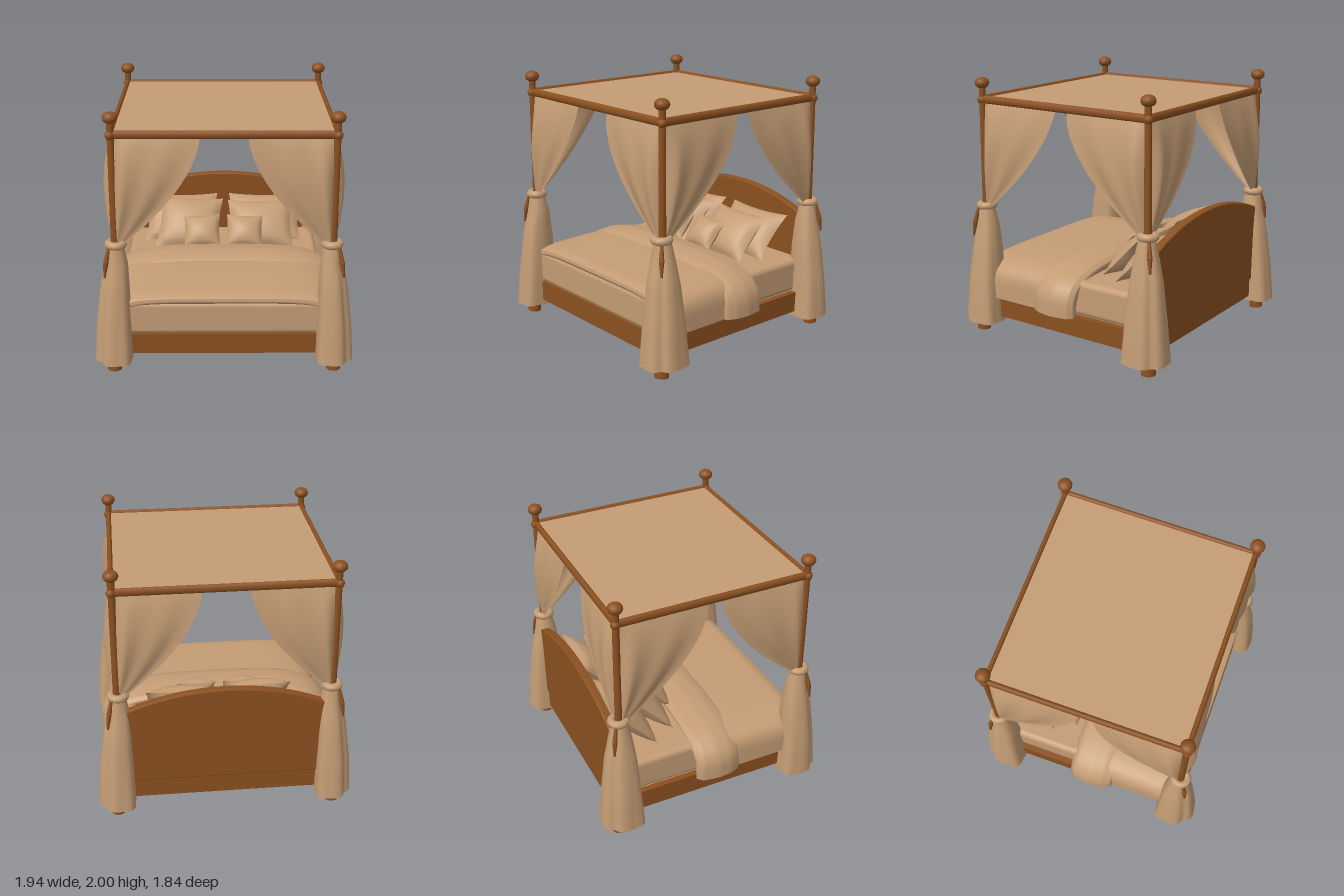
import * as THREE from 'three';
import { RoundedBoxGeometry } from 'three/addons/geometries/RoundedBoxGeometry.js';

const wood = new THREE.MeshStandardMaterial({ color: 0x8b5020 });
wood.name = 'wood';
const fabric = new THREE.MeshStandardMaterial({ color: 0xc49c74, side: THREE.DoubleSide });
fabric.name = 'fabric';

function add(parent, name, geometry, material, x = 0, y = 0, z = 0) {
  const mesh = new THREE.Mesh(geometry, material);
  mesh.name = name;
  mesh.position.set(x, y, z);
  parent.add(mesh);
  return mesh;
}

// Smooth surface from a rule f(u, v) -> [x, y, z], with u and v in 0..1
function surface(nu, nv, f) {
  const pos = [], index = [];
  for (let j = 0; j <= nv; j++)
    for (let i = 0; i <= nu; i++) pos.push(...f(i / nu, j / nv));
  for (let j = 0; j < nv; j++)
    for (let i = 0; i < nu; i++) {
      const a = j * (nu + 1) + i, b = a + nu + 1;
      index.push(a, b, a + 1, a + 1, b, b + 1);
    }
  const g = new THREE.BufferGeometry();
  g.setAttribute('position', new THREE.Float32BufferAttribute(pos, 3));
  g.setIndex(index);
  g.computeVertexNormals();
  return g;
}

// Round bar between two points
function bar(parent, name, a, b, r0, r1) {
  const from = new THREE.Vector3(...a), to = new THREE.Vector3(...b);
  const dir = to.clone().sub(from);
  const mesh = add(parent, name, new THREE.CylinderGeometry(r1, r0, dir.length(), 12), wood);
  mesh.position.copy(from).add(to).multiplyScalar(0.5);
  mesh.quaternion.setFromUnitVectors(new THREE.Vector3(0, 1, 0), dir.normalize());
  return mesh;
}

// Value from rows of [key, a, b, ...], linear between rows
function sample(rows, t) {
  const f = t * (rows.length - 1), i = Math.min(Math.floor(f), rows.length - 2);
  return rows[i].map((v, k) => THREE.MathUtils.lerp(v, rows[i + 1][k], f - i));
}

// Swept curtain: hangs from the rail and gathers at the post.
// "along" runs down the rail, "out" points away from the bed.
function curtain(postAlong, railOut, freeEdge, alongX) {
  return surface(24, 16, (u, v) => {
    const y = 1.82 - 0.81 * v;
    const free = freeEdge + (postAlong - 0.06 - freeEdge) * Math.pow(v, 1.65);
    const along = THREE.MathUtils.lerp(postAlong, free, u);
    const fromPost = Math.min(1, u / 0.17);
    const bulge = 0.066 * Math.sin(Math.PI * Math.pow(v, 0.85)) * Math.sin(fromPost * Math.PI / 2) * (1 - 0.5 * u);
    const fold = 0.007 * Math.sin(u * 13) * Math.sin(Math.PI * v);
    const out = railOut + bulge + fold + 0.02 * v * fromPost;
    return alongX ? [along, y, out] : [out, y, along];
  });
}

// Gathered lower curtain, with a crease on the outer corner
const skirtRows = [ // y, centre x, centre z, half x, half z
  [1.0, 0.79, 0.74, 0.06, 0.06], [0.86, 0.79, 0.738, 0.086, 0.086],
  [0.68, 0.803, 0.745, 0.107, 0.117], [0.38, 0.82, 0.755, 0.13, 0.143],
  [0.09, 0.828, 0.76, 0.142, 0.162],
];
function skirt() {
  return surface(40, 12, (u, v) => {
    const [y, cx, cz, hx, hz] = sample(skirtRows, v);
    const a = u * Math.PI * 2 - Math.PI * 0.75, c = Math.cos(a), s = Math.sin(a);
    const square = 1 / Math.pow(c ** 4 + s ** 4, 0.25 * v);
    const crease = 1 - 0.32 * Math.sqrt(v) * Math.exp(-(((a - Math.PI / 4) / 0.28) ** 2));
    const r = square * crease * (1 - 0.02 * v * (1 - Math.cos(8 * a)));
    return [cx + hx * r * c, y, cz + hz * r * s];
  });
}

// Bedding that arches over the mattress; rows hold [z, half width, top]
function drape(rows, n) {
  return surface(40, 24, (u, v) => {
    const [z, w, top] = sample(rows, v);
    const a = u * Math.PI, c = Math.cos(a), s = Math.max(0, Math.sin(a));
    return [w * Math.sign(c) * Math.abs(c) ** (2 / n), 0.295 + (top - 0.295) * s ** (2 / n), z];
  });
}

function pillow(parent, name, w, h, t, x, y, z, tilt, roll = 0) {
  const group = new THREE.Group();
  group.name = name;
  for (const side of [1, -1]) {
    add(group, name + 'Face', surface(16, 16, (i, j) => {
      const u = i * 2 - 1, v = j * 2 - 1;
      return [
        (w / 2) * u * (1 - 0.07 * (1 - v * v)), (h / 2) * v * (1 - 0.09 * (1 - u * u)),
        side * (t / 2) * ((1 - u * u) * (1 - v * v)) ** 0.55,
      ];
    }), fabric);
  }
  group.position.set(x, y, z);
  group.rotation.set(-tilt, 0, roll);
  parent.add(group);
}

function corner(sx, sz) {
  const g = new THREE.Group();
  g.name = 'corner';
  const px = 0.792, pz = 0.745;
  bar(g, 'leg', [0.828, 0, 0.783], [px, 1.0, pz], 0.053, 0.03);
  bar(g, 'post', [px, 0.95, pz], [px, 1.95, pz], 0.029, 0.025);
  add(g, 'finial', new THREE.SphereGeometry(0.055, 16, 10), wood, px, 1.957, pz).scale.y = 0.78;
  add(g, 'railJoint', new THREE.SphereGeometry(0.034, 10, 8), wood, px + 0.005, 1.83, pz + 0.005);
  add(g, 'endCurtain', curtain(0.79, 0.74, 0.17, true), fabric);
  add(g, 'sideCurtain', curtain(0.74, 0.79, 0.05, false), fabric);
  add(g, 'lowerCurtain', skirt(), fabric);
  // Tie around the gathered curtain, with a hanging tail
  const tie = add(g, 'curtainTie', new THREE.TorusGeometry(0.052, 0.03, 10, 20), fabric, 0.785, 1.01, 0.745);
  tie.rotation.x = Math.PI / 2;
  bar(g, 'tieTail', [0.87, 0.77, 0.818], [0.857, 0.88, 0.806], 0.008, 0.019);
  bar(g, 'tieTail', [0.857, 0.88, 0.806], [0.836, 0.99, 0.787], 0.019, 0.011);
  g.scale.set(sx, 1, sz);
  return g;
}

export function createModel() {
  const bed = new THREE.Group();
  bed.name = 'canopyBed';

  for (const sx of [1, -1]) for (const sz of [1, -1]) bed.add(corner(sx, sz));

  // Canopy
  for (const s of [1, -1]) {
    const end = bar(bed, 'endRail', [-0.8, 1.833, 0.745 * s], [0.8, 1.833, 0.745 * s], 0.031, 0.031);
    end.scale.z = 0.65;
    const side = bar(bed, 'sideRail', [0.793 * s, 1.833, -0.75], [0.793 * s, 1.833, 0.75], 0.031, 0.031);
    side.scale.x = 0.65;
  }
  add(bed, 'canopyCloth', new THREE.BoxGeometry(1.58, 0.008, 1.48), fabric, 0, 1.842, 0);

  // Frame, with the base set up inside it
  for (const s of [1, -1]) {
    add(bed, 'endFrame', new THREE.BoxGeometry(1.64, 0.16, 0.05), wood, 0, 0.21, 0.76 * s);
    add(bed, 'sideFrame', new THREE.BoxGeometry(0.05, 0.16, 1.5), wood, 0.795 * s, 0.21, 0);
  }
  add(bed, 'bedBase', new THREE.BoxGeometry(1.55, 0.1, 1.48), fabric, 0, 0.24, 0);

  // Arched headboard with softened edges
  const shape = new THREE.Shape();
  shape.moveTo(-0.79, 0.29);
  shape.lineTo(0.79, 0.29);
  shape.lineTo(0.79, 0.855);
  shape.quadraticCurveTo(0.42, 1.03, 0, 1.03);
  shape.quadraticCurveTo(-0.42, 1.03, -0.79, 0.855);
  add(bed, 'headboard', new THREE.ExtrudeGeometry(shape, {
    depth: 0.045, bevelSize: 0.01, bevelThickness: 0.01, bevelSegments: 2, curveSegments: 10,
  }), wood, 0, 0, -0.787);

  // Mattress and covers
  add(bed, 'mattress', new RoundedBoxGeometry(1.56, 0.27, 1.5, 4, 0.045), fabric, 0, 0.416, 0.03);
  add(bed, 'duvet', drape([
    [0.1, 0.86, 0.62], [0.3, 0.865, 0.62], [0.55, 0.865, 0.612],
    [0.72, 0.86, 0.605], [0.78, 0.845, 0.585], [0.785, 0.8, 0.555], [0.765, 0.77, 0.53],
  ], 5), fabric);
  add(bed, 'foldedBlanket', drape([
    [-0.12, 0.8, 0.54], [-0.15, 0.87, 0.61], [-0.11, 0.912, 0.64], [0.02, 0.932, 0.662],
    [0.13, 0.92, 0.655], [0.2, 0.89, 0.635], [0.215, 0.84, 0.59],
  ], 3.4), fabric);

  // Pillows, three rows
  for (const s of [1, -1]) {
    pillow(bed, 'backPillow', 0.6, 0.43, 0.19, 0.35 * s, 0.72, -0.52, 0.75);
    pillow(bed, 'smallPillow', 0.3, 0.28, 0.15, 0.175 * s, 0.715, -0.21, 0.73, -0.03 * s);
  }
  pillow(bed, 'middlePillow', 0.52, 0.47, 0.19, -0.28, 0.735, -0.35, 0.77, -0.08);
  pillow(bed, 'middlePillow', 0.54, 0.43, 0.19, 0.31, 0.72, -0.36, 0.77);

  return bed;
}
